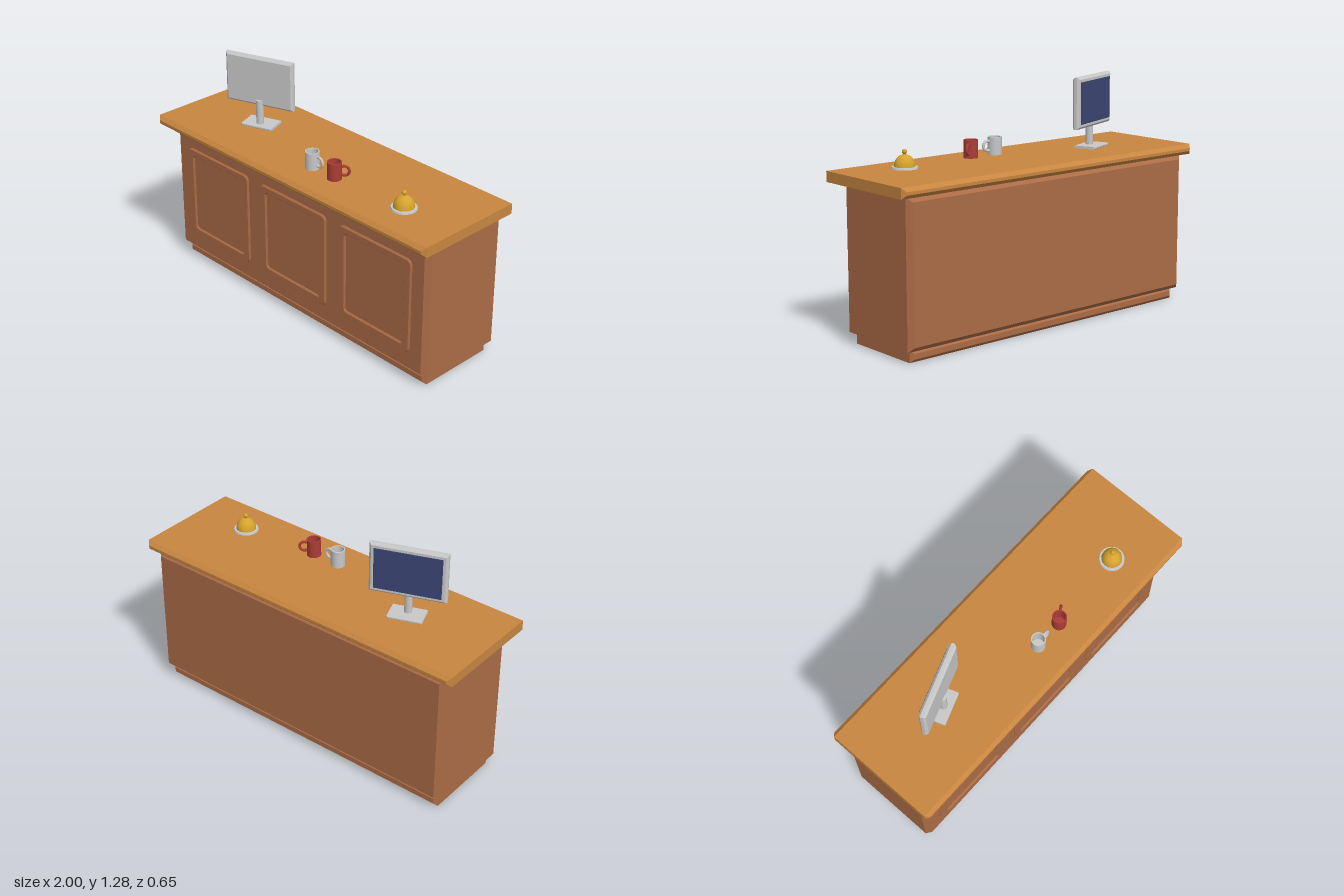
import * as THREE from 'three';

const mat = (name, color, side = THREE.FrontSide) => {
  const m = new THREE.MeshStandardMaterial({ color, side });
  m.name = name;
  return m;
};

function roundedPath(path, w, h, r) {
  const x = w / 2, y = h / 2;
  path.moveTo(-x + r, -y);
  path.lineTo(x - r, -y);
  path.quadraticCurveTo(x, -y, x, -y + r);
  path.lineTo(x, y - r);
  path.quadraticCurveTo(x, y, x - r, y);
  path.lineTo(-x + r, y);
  path.quadraticCurveTo(-x, y, -x, y - r);
  path.lineTo(-x, -y + r);
  path.quadraticCurveTo(-x, -y, -x + r, -y);
  return path;
}

// Box whose front and back rims are chamfered by b, centred on the origin
function chamferedBox(w, h, d, b) {
  const x = w / 2 - b, y = h / 2 - b;
  const shape = new THREE.Shape([
    new THREE.Vector2(-x, -y), new THREE.Vector2(x, -y),
    new THREE.Vector2(x, y), new THREE.Vector2(-x, y),
  ]);
  return new THREE.ExtrudeGeometry(shape, {
    depth: d - 2 * b, bevelEnabled: true, bevelSegments: 1, bevelSize: b, bevelThickness: b,
  }).translate(0, 0, -d / 2 + b);
}

function add(parent, name, geometry, material, x = 0, y = 0, z = 0) {
  const mesh = new THREE.Mesh(geometry, material);
  mesh.name = name;
  mesh.position.set(x, y, z);
  parent.add(mesh);
  return mesh;
}

function group(parent, name, x, y, z, turn = 0) {
  const g = new THREE.Group();
  g.name = name;
  g.position.set(x, y, z);
  g.rotation.y = turn;
  parent.add(g);
  return g;
}

const lathe = (points, sides) =>
  new THREE.LatheGeometry(points.map(([x, y]) => new THREE.Vector2(x, y)), sides);

export function createModel() {
  const model = new THREE.Group();
  model.name = 'receptionDesk';

  const wood = mat('brown wood', 0xab6c46);
  const topWood = mat('honey wood', 0xc88640);
  const grey = mat('light grey', 0xc8c8c8, THREE.DoubleSide);
  const red = mat('mug red', 0xab3d36, THREE.DoubleSide);
  const gold = mat('bell gold', 0xd6a32e);
  const navy = mat('screen navy', 0x3c4574);

  // Desk carcass
  add(model, 'plinth', chamferedBox(1.845, 0.065, 0.473, 0.018), wood, 0, 0.0325, -0.033);
  add(model, 'cabinet', chamferedBox(1.9, 0.765, 0.535, 0.026), wood, 0, 0.4435, -0.0325);
  add(model, 'countertop', chamferedBox(2, 0.056, 0.655, 0.02), topWood, 0, 0.852, 0);

  // Raised frames on the front
  const b = 0.007;
  const frame = roundedPath(new THREE.Shape(), 0.5 - 2 * b, 0.54 - 2 * b, 0.028);
  frame.holes.push(roundedPath(new THREE.Path(), 0.41 + 2 * b, 0.455 + 2 * b, 0.028));
  const frameGeometry = new THREE.ExtrudeGeometry(frame, {
    depth: 0.012, curveSegments: 5, bevelEnabled: true, bevelSegments: 1, bevelSize: b, bevelThickness: b,
  });
  for (const x of [-0.597, 0, 0.597]) add(model, 'frontFrame', frameGeometry, wood, x, 0.445, 0.226);

  // Monitor, with its screen towards the back of the desk
  const monitor = group(model, 'monitor', -0.523, 0.88, -0.0165, 0.349);
  add(monitor, 'monitorBase', chamferedBox(0.184, 0.014, 0.12, 0.003), grey, 0, 0.007, 0);
  add(monitor, 'monitorNeck', new THREE.CylinderGeometry(0.021, 0.021, 0.14, 12), grey, 0, 0.081, 0.014);
  add(monitor, 'monitorCase', chamferedBox(0.405, 0.28, 0.04, 0.012), grey, 0, 0.257, 0);
  add(monitor, 'monitorScreen', new THREE.BoxGeometry(0.352, 0.228, 0.008), navy, 0, 0.257, -0.02);

  // Mugs
  const cup = lathe([[0, 0], [0.0385, 0], [0.0385, 0], [0.0385, 0.096], [0.0385, 0.096],
    [0.032, 0.096], [0.032, 0.096], [0.032, 0.012], [0.032, 0.012], [0, 0.012]], 16);
  const handle = new THREE.TorusGeometry(0.026, 0.0075, 8, 16);
  for (const [x, z, turn, material] of [[0.044, 0.138, 0, grey], [0.207, 0.138, 0.6, red]]) {
    const mug = group(model, 'mug', x, 0.88, z, turn);
    add(mug, 'mugCup', cup, material);
    // Open arc, so that nothing pokes into the cup
    const arc = new THREE.TorusGeometry(0.026, 0.0075, 8, 16, Math.PI * 1.35);
    arc.rotateZ(-Math.PI * 0.675);
    add(mug, 'mugHandle', arc, material, 0.051, 0.05, 0);
  }
  handle.dispose();

  // Counter bell
  const bell = group(model, 'bell', 0.663, 0.88, 0.108);
  add(bell, 'bellPlate', new THREE.CylinderGeometry(0.066, 0.069, 0.01, 24), grey, 0, 0.005, 0);
  const dome = [];
  for (let i = 0; i <= 6; i++) {
    const a = (i / 6) * Math.PI / 2;
    dome.push([Math.max(0, 0.055 * Math.cos(a)), 0.01 + 0.062 * Math.sin(a)]);
  }
  add(bell, 'bellDome', lathe(dome, 16), gold);
  add(bell, 'bellStem', new THREE.CylinderGeometry(0.007, 0.007, 0.02, 10), gold, 0, 0.076, 0);
  add(bell, 'bellKnob', new THREE.SphereGeometry(0.0135, 12, 8), gold, 0, 0.086, 0);

  return model;
}
